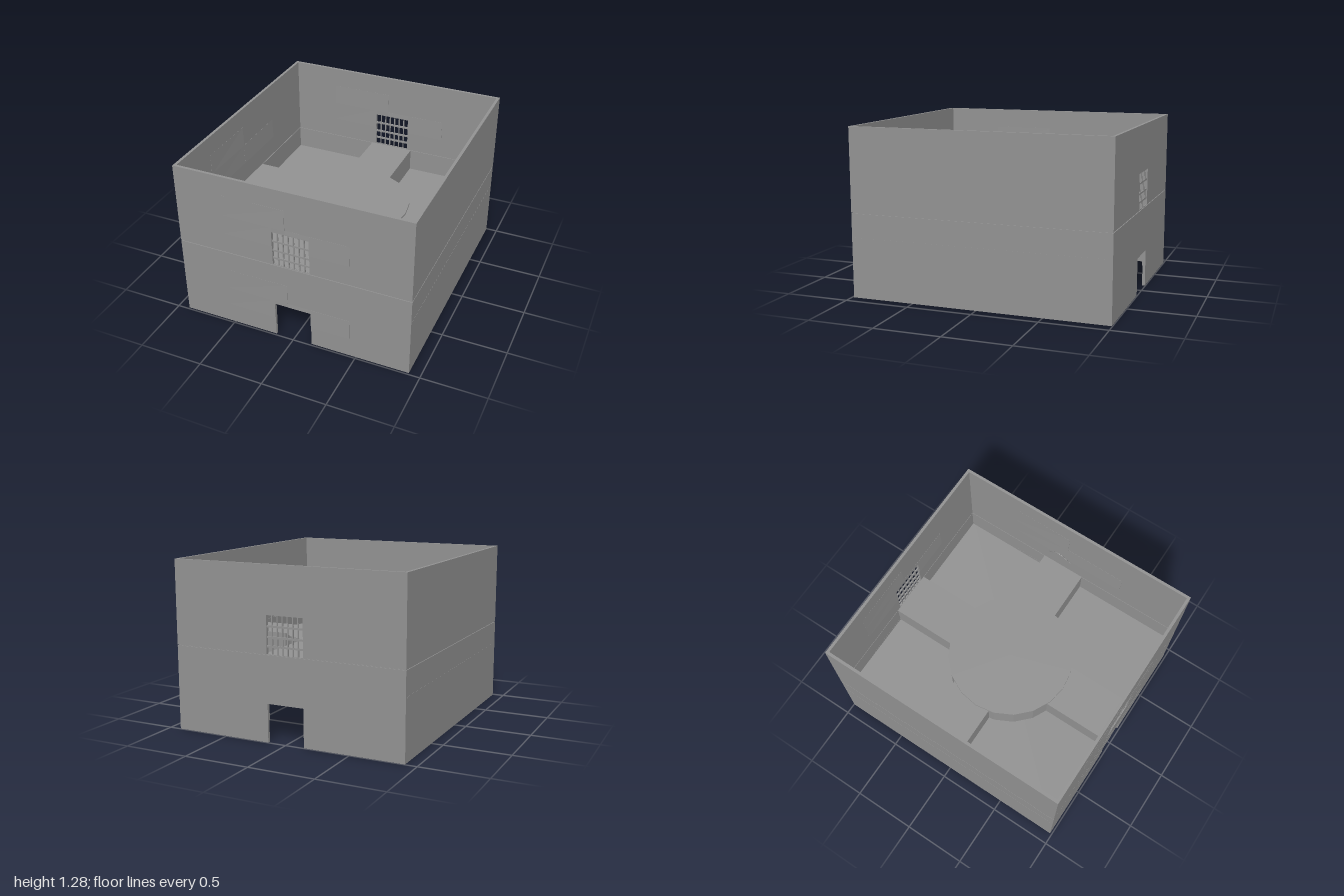
import * as THREE from 'three';

const mat = new THREE.MeshStandardMaterial({ color: 0x929292, flatShading: true });
const W = 0.912, ZB = -0.995, ZF = 0.985, T = 0.022;
const HALF_DOOR = 0.145, BASE2 = 0.648;

function add(parent, name, geometry) {
  const m = new THREE.Mesh(geometry, mat);
  m.name = name;
  parent.add(m);
  return m;
}

// Box given by its minimum and maximum corners
function block(parent, name, x0, x1, y0, y1, z0, z1) {
  add(parent, name, new THREE.BoxGeometry(x1 - x0, y1 - y0, z1 - z0))
    .position.set((x0 + x1) / 2, (y0 + y1) / 2, (z0 + z1) / 2);
}

// End wall with an opening standing on its lower edge
function endWall(parent, name, y, height, top, z) {
  const h = HALF_DOOR;
  const s = new THREE.Shape([
    [-W, 0], [-h, 0], [-h, top], [h, top], [h, 0], [W, 0], [W, height], [-W, height],
  ].map((p) => new THREE.Vector2(...p)));
  add(parent, name, new THREE.ExtrudeGeometry(s, { depth: T, bevelEnabled: false }))
    .position.set(0, y, z);
}

// Clapboard: stands out by o0 at its left and o1 at its right, thinner at the top
function plank(parent, x0, x1, y0, y1, o0, o1) {
  const w = x1 - x0, geo = new THREE.BoxGeometry(w, y1 - y0, 1);
  const p = geo.attributes.position;
  for (let i = 0; i < p.count; i++) {
    const out = THREE.MathUtils.lerp(o0, o1, p.getX(i) / w + 0.5);
    p.setZ(i, p.getZ(i) < 0 ? -0.005 : out * (p.getY(i) > 0 ? 0.2 : 1));
  }
  geo.computeVertexNormals();
  add(parent, 'plank', geo).position.set((x0 + x1) / 2, (y0 + y1) / 2, 0);
}

// Loose planks on one wall face, optionally cut around the opening
function planks(parent, x, y, z, turn, cut) {
  const g = new THREE.Group();
  g.name = 'planks';
  plank(g, -0.53, -0.04, 0.32, 0.483, 0.002, 0.006);
  plank(g, cut ? HALF_DOOR : -0.04, 0.45, 0.162, 0.32, 0.006, 0.006);
  if (cut) plank(g, -0.04, HALF_DOOR, 0.288, 0.32, 0.002, 0.002);
  plank(g, -0.53, cut ? -HALF_DOOR : -0.04, 0.162, 0.32, 0.001, 0.005);
  g.position.set(x, y, z);
  g.rotation.y = turn;
  parent.add(g);
}

// Barred window filling the upper opening
function grate(parent, name, z) {
  const g = new THREE.Group();
  g.name = name;
  for (let i = 1; i <= 6; i++) {
    const x = -HALF_DOOR + (2 * HALF_DOOR * i) / 7;
    block(g, 'verticalBar', x - 0.004, x + 0.004, 0.645, 0.927, z - 0.005, z + 0.005);
  }
  for (const y of [0.704, 0.769, 0.847]) {
    block(g, 'crossBar', -HALF_DOOR, HALF_DOOR, y - 0.007, y + 0.007, z - 0.006, z + 0.006);
  }
  parent.add(g);
}

export function createModel() {
  const model = new THREE.Group();
  model.name = 'building';
  const xi = W - T, zi0 = ZB + T, zi1 = ZF - T;

  // Two storeys of walls
  for (const [name, y, height, top] of [
    ['lowerStorey', 0, 0.641, 0.287],
    ['upperStorey', BASE2, 0.636, 0.279],
  ]) {
    const storey = new THREE.Group();
    storey.name = name;
    endWall(storey, 'frontWall', y, height, top, zi1);
    endWall(storey, 'backWall', y, height, top, ZB);
    block(storey, 'leftWall', xi, W, y, y + height, zi0, zi1);
    block(storey, 'rightWall', -W, -xi, y, y + height, zi0, zi1);
    planks(storey, 0, y, ZF, 0, true);
    planks(storey, 0, y, zi0, 0, true);
    planks(storey, -xi, y, 0, Math.PI / 2, false);
    planks(storey, xi, y, 0, -Math.PI / 2, false);
    model.add(storey);
  }

  // Recessed joint between the storeys
  const r = 0.006, j0 = 0.636, j1 = 0.649;
  for (const [a, b] of [[xi + r, W - r], [r - W, -xi - r]]) {
    block(model, 'sideJoint', a, b, j0, j1, ZB + r, ZF - r);
  }
  for (const [a, b] of [[ZB + r, zi0 - r], [zi1 + r, ZF - r]]) {
    block(model, 'endJoint', r - W, W - r, j0, 0.646, a, b);
  }

  grate(model, 'frontGrate', ZF - T / 2);
  grate(model, 'backGrate', ZB + T / 2);

  // Sunken floor showing at the side walls, raised walkways and round platform
  const floorY = 0.46, walkY = 0.643;
  block(model, 'floor', -W - 0.001, W + 0.001, floorY - 0.01, floorY, zi0, zi1);
  block(model, 'backWalkway', -0.18, 0.18, floorY, walkY, zi0, -0.44);
  block(model, 'frontWalkway', -0.18, 0.18, floorY, walkY, 0.44, zi1);
  block(model, 'rightWalkway', -xi, -0.4, floorY, walkY, -0.25, 0.11);
  block(model, 'leftWalkway', 0.4, xi, floorY, walkY, -0.25, 0.11);
  add(model, 'platform', new THREE.CylinderGeometry(0.495, 0.495, 0.22, 20))
    .position.y = 0.547;

  // Small wall bracket inside the left wall
  const path = new THREE.CatmullRomCurve3([
    [0.888, 0.77, -0.21], [0.874, 0.83, -0.16], [0.87, 0.86, -0.11],
    [0.874, 0.83, -0.06], [0.888, 0.77, -0.01],
  ].map((p) => new THREE.Vector3(...p)));
  add(model, 'wallBracket', new THREE.TubeGeometry(path, 12, 0.004, 5));

  return model;
}
